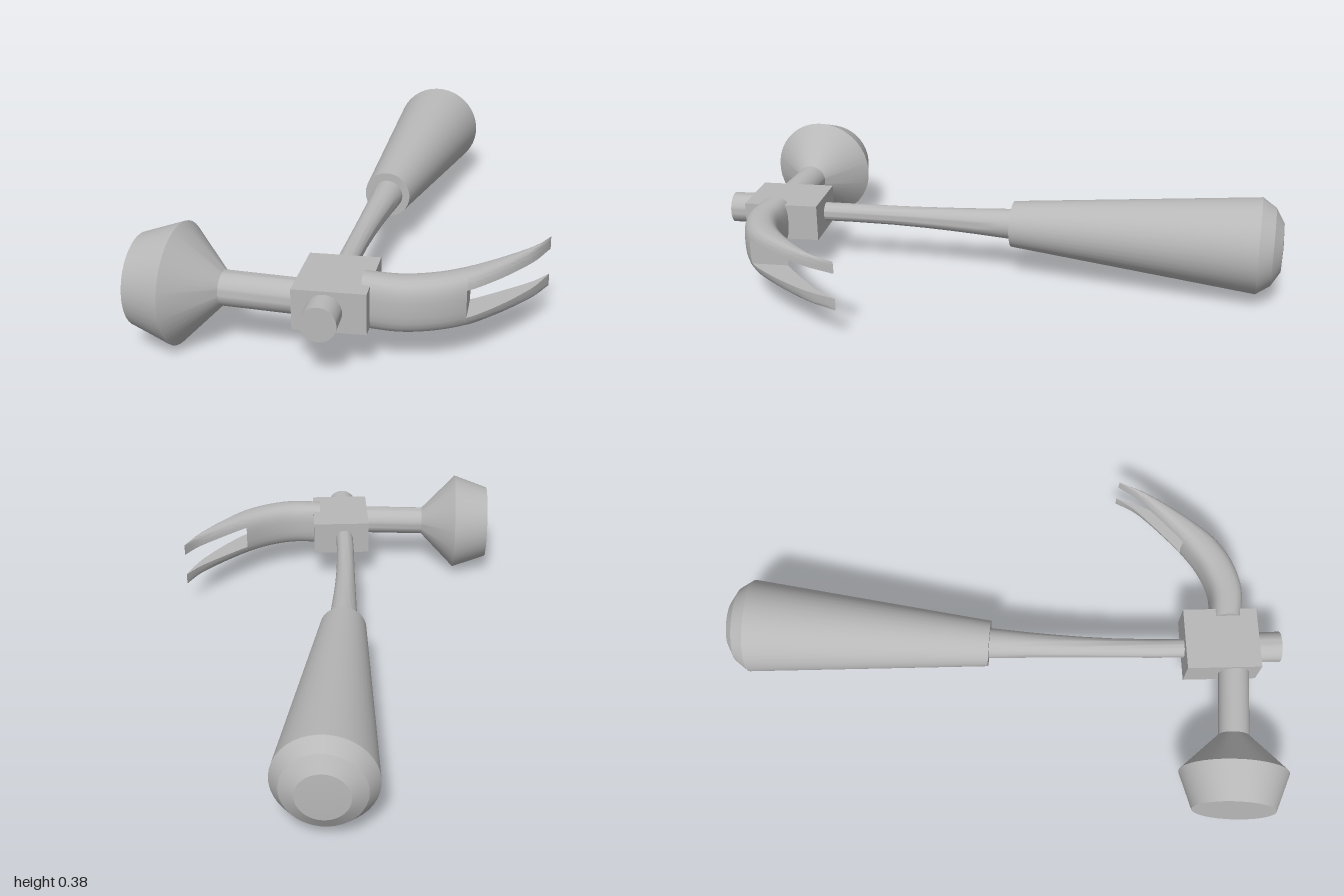
import * as THREE from 'three';
import { toCreasedNormals } from 'three/addons/utils/BufferGeometryUtils.js';

const AXIS_Y = 0.195;

export function createModel() {
  const model = new THREE.Group();
  const steel = new THREE.MeshStandardMaterial({ color: 0xb8b8b8 });
  steel.name = 'grey steel';

  const add = (name, geometry) => {
    const mesh = new THREE.Mesh(geometry, steel);
    mesh.name = name;
    model.add(mesh);
    return mesh;
  };

  // Turned part: [radius, distance] profile along a level direction (dx, dz) from (x, z)
  const turned = (name, profile, x, z, dx, dz) => {
    const lathe = new THREE.LatheGeometry(profile.map(([r, t]) => new THREE.Vector2(r, t)), 40);
    const mesh = add(name, toCreasedNormals(lathe, 0.42));
    mesh.position.set(x, AXIS_Y, z);
    mesh.quaternion.setFromUnitVectors(new THREE.Vector3(0, 1, 0), new THREE.Vector3(dx, 0, dz).normalize());
    return mesh;
  };

  // Central block and the round peg in front of it
  add('headBlock', new THREE.BoxGeometry(0.224, 0.13, 0.265)).position.set(0, AXIS_Y, 0.784);
  turned('peg', [[0, 0], [0.055, 0], [0.055, 0.12], [0, 0.12]], -0.015, 0.88, 0, 1);

  // Striking face with its shank, slightly tilted
  turned('strikingFace', [
    [0, -0.42], [0.055, -0.42], [0.055, -0.135], [0.192, 0], [0.145, 0.134], [0, 0.134],
  ], -0.48, 0.792, -0.994, -0.09);

  // Slim neck, bent sideways towards the grip
  const neckRadii = [[0.034, 0.7], [0.034, 0.55], [0.035, 0.4], [0.038, 0.28], [0.042, 0.18],
    [0.047, 0.08], [0.052, 0], [0.056, -0.08]];
  const neck = new THREE.LatheGeometry(neckRadii.map(([r, z]) => new THREE.Vector2(r, -z)), 32);
  neck.rotateX(-Math.PI / 2);
  const p = neck.attributes.position;
  for (let i = 0; i < p.count; i++) {
    const u = Math.max(0, (0.65 - p.getZ(i)) / 0.7);
    p.setX(i, p.getX(i) - 0.013 + 0.037 * u ** 1.6);
  }
  neck.computeVertexNormals();
  add('neck', toCreasedNormals(neck, 0.6)).position.y = AXIS_Y;

  // Flared grip with a domed butt
  turned('grip', [
    [0, 0], [0.083, 0], [0.168, 0.869], [0.135, 0.917], [0.085, 0.947], [0, 0.951],
  ], 0.022, -0.052, 0.09, -0.865);

  // Claw: each station is x, outer z, inner z
  const clawCurve = new THREE.CatmullRomCurve3([
    [0.085, 0.865, 0.757], [0.2, 0.878, 0.762], [0.3, 0.855, 0.73], [0.39, 0.805, 0.673],
    [0.45, 0.743, 0.625], [0.5, 0.68, 0.582], [0.54, 0.622, 0.547], [0.58, 0.556, 0.508],
    [0.624, 0.452, 0.448],
  ].map((s) => new THREE.Vector3(...s)));
  const SLOT = 3 / 8;
  add('clawBase', clawPart(clawCurve, 0, SLOT, -0.085, 0.085));
  add('upperProng', clawPart(clawCurve, SLOT, 1, 0.044, 0.085));
  add('lowerProng', clawPart(clawCurve, SLOT, 1, -0.085, -0.044));

  return model;
}

// Rounded section between heights low and high, swept along part of the claw
function clawPart(curve, from, to, low, high) {
  const HALF = 0.085, STEPS = 18, N = 12;
  const a0 = Math.acos(high / HALF), a1 = Math.acos(low / HALF);
  const rings = [];
  for (let i = 0; i <= STEPS; i++) {
    const s = curve.getPoint(from + (to - from) * i / STEPS);
    const mid = (s.y + s.z) / 2, half = (s.y - s.z) / 2;
    const outer = [], inner = [];
    for (let k = 0; k <= N; k++) {
      const v = HALF * Math.cos(a0 + (a1 - a0) * k / N);
      const w = half * Math.max(0.15, Math.cbrt(Math.max(0, 1 - Math.abs(v / HALF) ** 3)));
      outer.push([s.x, AXIS_Y + v, mid + w]);
      inner.unshift([s.x, AXIS_Y + v, mid - w]);
    }
    rings.push([...outer, ...inner]);
  }
  const count = rings[0].length, tris = [];
  for (let i = 0; i < STEPS; i++) {
    for (let k = 0; k < count; k++) {
      const n = (k + 1) % count;
      const a = rings[i][k], b = rings[i][n], c = rings[i + 1][n], d = rings[i + 1][k];
      tris.push(a, b, c, a, c, d);
    }
  }
  // End caps
  const first = rings[0], last = rings[STEPS];
  for (let k = 1; k < count - 1; k++) {
    tris.push(first[0], first[k + 1], first[k], last[0], last[k], last[k + 1]);
  }
  const geometry = new THREE.BufferGeometry();
  geometry.setAttribute('position', new THREE.Float32BufferAttribute(tris.flat(), 3));
  return toCreasedNormals(geometry, 0.7);
}
